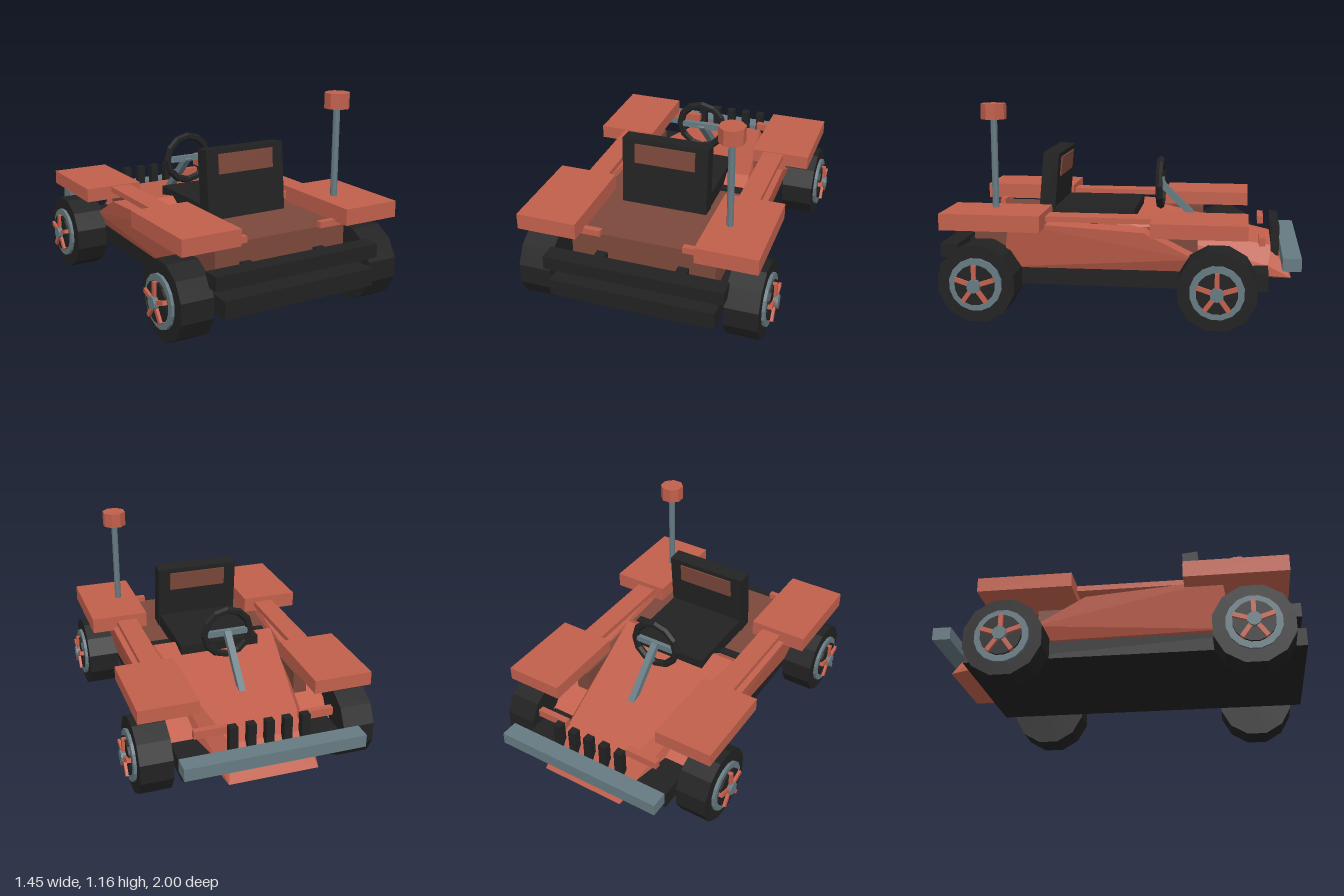
import * as THREE from 'three';
import { ConvexGeometry } from 'three/addons/geometries/ConvexGeometry.js';

const mat = (name, color) => {
  const m = new THREE.MeshStandardMaterial({ color, flatShading: true });
  m.name = name;
  return m;
};

export function createModel() {
  const red = mat('body red', 0xc2604c);
  const darkRed = mat('dark red', 0x7c483b);
  const black = mat('black', 0x222222);
  const grey = mat('steel grey', 0x667a82);
  const model = new THREE.Group();
  model.name = 'buggy';

  const add = (name, geometry, material, parent = model) => {
    const mesh = new THREE.Mesh(geometry, material);
    mesh.name = name;
    parent.add(mesh);
    return mesh;
  };
  // Box given by its extents on each axis
  const box = (name, [x0, x1], [y0, y1], [z0, z1], material) => {
    const mesh = add(name, new THREE.BoxGeometry(x1 - x0, y1 - y0, z1 - z0), material);
    mesh.position.set((x0 + x1) / 2, (y0 + y1) / 2, (z0 + z1) / 2);
    return mesh;
  };
  // Same box on both sides
  const boxPair = (name, [x0, x1], y, z, material) => {
    box(name + 'Left', [x0, x1], y, z, material);
    box(name + 'Right', [-x1, -x0], y, z, material);
  };
  const hull = (name, points, material) =>
    add(name, new ConvexGeometry(points.map(p => new THREE.Vector3(...p))), material);
  const mirror = (points) => points.concat(points.map(([x, y, z]) => [-x, y, z]));

  // Chassis, tub and bumpers
  box('chassis', [-0.46, 0.46], [0.165, 0.262], [-0.83, 1], black);
  box('tub', [-0.405, 0.405], [0.25, 0.478], [0, 0.81], darkRed);
  boxPair('tubSide', [0.32, 0.4], [0.25, 0.478], [-0.44, 0.01], darkRed);
  box('rearBumper', [-0.5, 0.5], [0.31, 0.387], [0.88, 0.98], black);
  boxPair('rearBumperMount', [0.2, 0.26], [0.32, 0.37], [0.8, 0.89], black);
  box('frontBumper', [-0.5, 0.5], [0.292, 0.363], [-1, -0.9], grey);
  box('dashBar', [-0.36, 0.36], [0.46, 0.49], [0.13, 0.18], black);
  boxPair('tailBlock', [0.23, 0.42], [0.475, 0.51], [0.8, 0.833], red);
  boxPair('headBlock', [0.2, 0.39], [0.4, 0.445], [-0.81, -0.775], red);

  // Tapered hood with a sloping nose
  hull('hood', mirror([
    [0.37, 0.53, 0.05], [0.37, 0.48, 0.13], [0.37, 0.26, 0.13],
    [0.37, 0.26, -0.3], [0.27, 0.26, -0.83],
    [0.205, 0.365, -0.85], [0.25, 0.19, -0.96], [0.25, 0.19, -0.83],
  ]), red);

  // Grille bars
  for (let i = -2; i <= 2; i++) {
    box('grilleBar', [i * 0.1 - 0.023, i * 0.1 + 0.023], [0.31, 0.48], [-0.89, -0.845], black);
  }

  // Side pods, rails and fenders
  for (const s of [1, -1]) {
    hull(s > 0 ? 'sidePodLeft' : 'sidePodRight', [
      [0.39, 0.265, 0.62], [0.49, 0.265, 0.62], [0.42, 0.53, 0.58], [0.545, 0.53, 0.58],
      [0.38, 0.485, -0.155], [0.525, 0.485, -0.155],
      [0.36, 0.34, -0.44], [0.5, 0.34, -0.44],
      [0.3, 0.265, -0.6], [0.46, 0.265, -0.6],
    ].map(([x, y, z]) => [s * x, y, z]), red);
  }
  boxPair('sideRail', [0.39, 0.51], [0.53, 0.56], [-0.22, 0.39], red);
  boxPair('rearFender', [0.325, 0.66], [0.5, 0.59], [0.38, 0.93], red);
  boxPair('frontFender', [0.325, 0.66], [0.487, 0.565], [-0.715, -0.205], red);

  // Seat with a slightly tilted back
  box('seatCushion', [-0.237, 0.237], [0.46, 0.56], [-0.08, 0.42], black);
  const back = new THREE.Group();
  back.name = 'seatBack';
  back.position.set(0, 0.68, 0.415);
  back.rotation.x = -0.09;
  model.add(back);
  add('backrest', new THREE.BoxGeometry(0.49, 0.385, 0.09), black, back);
  add('headrestPanel', new THREE.BoxGeometry(0.345, 0.11, 0.106), darkRed, back).position.y = 0.11;

  // Steering wheel, crossbar and column
  const steering = new THREE.Group();
  steering.name = 'steering';
  steering.position.set(0, 0.675, -0.205);
  model.add(steering);
  add('steeringWheel', new THREE.TorusGeometry(0.136, 0.022, 6, 12), black, steering);
  add('steeringCrossbar', new THREE.BoxGeometry(0.26, 0.035, 0.025), grey, steering);
  const column = add('steeringColumn', new THREE.BoxGeometry(0.038, 0.038, 0.37), grey, steering);
  column.position.set(0, -0.125, -0.125);
  column.rotation.x = -Math.PI / 4;

  // Mast with cap
  const mast = add('mast', new THREE.CylinderGeometry(0.019, 0.019, 0.63, 8), grey);
  mast.position.set(0.437, 0.775, 0.673);
  const cap = add('mastCap', new THREE.CylinderGeometry(0.07, 0.07, 0.085, 8), red);
  cap.position.set(0.437, 1.122, 0.673);
  cap.rotation.y = Math.PI / 8;

  // Wheels: stacked discs along the axle, five spokes and a hub
  const disc = (name, r, x0, x1, n, material, parent) => {
    const g = new THREE.CylinderGeometry(r, r, x1 - x0, n);
    g.rotateY(Math.PI / n);
    g.rotateZ(-Math.PI / 2);
    add(name, g, material, parent).position.x = (x0 + x1) / 2;
  };
  for (const z of [0.73, -0.56]) {
    const axle = new THREE.Group();
    axle.name = z > 0 ? 'rearAxle' : 'frontAxle';
    axle.position.set(0, 0.212, z);
    model.add(axle);
    disc('axleRod', 0.03, -0.52, 0.52, 8, grey, axle);
    for (const s of [1, -1]) {
      const wheel = new THREE.Group();
      wheel.name = s > 0 ? 'wheelLeft' : 'wheelRight';
      wheel.rotation.y = s > 0 ? 0 : Math.PI;
      axle.add(wheel);
      disc('tyre', 0.216, 0.487, 0.67, 12, black, wheel);
      disc('rim', 0.145, 0.6, 0.687, 16, grey, wheel);
      disc('rimFace', 0.11, 0.65, 0.7, 16, black, wheel);
      disc('hub', 0.037, 0.66, 0.727, 10, grey, wheel);
      for (let i = 0; i < 5; i++) {
        const g = new THREE.BoxGeometry(0.025, 0.1, 0.024);
        g.translate(0.703, 0.06, 0);
        g.rotateX(i * Math.PI * 2 / 5);
        add('spoke', g, red, wheel);
      }
    }
  }
  return model;
}
